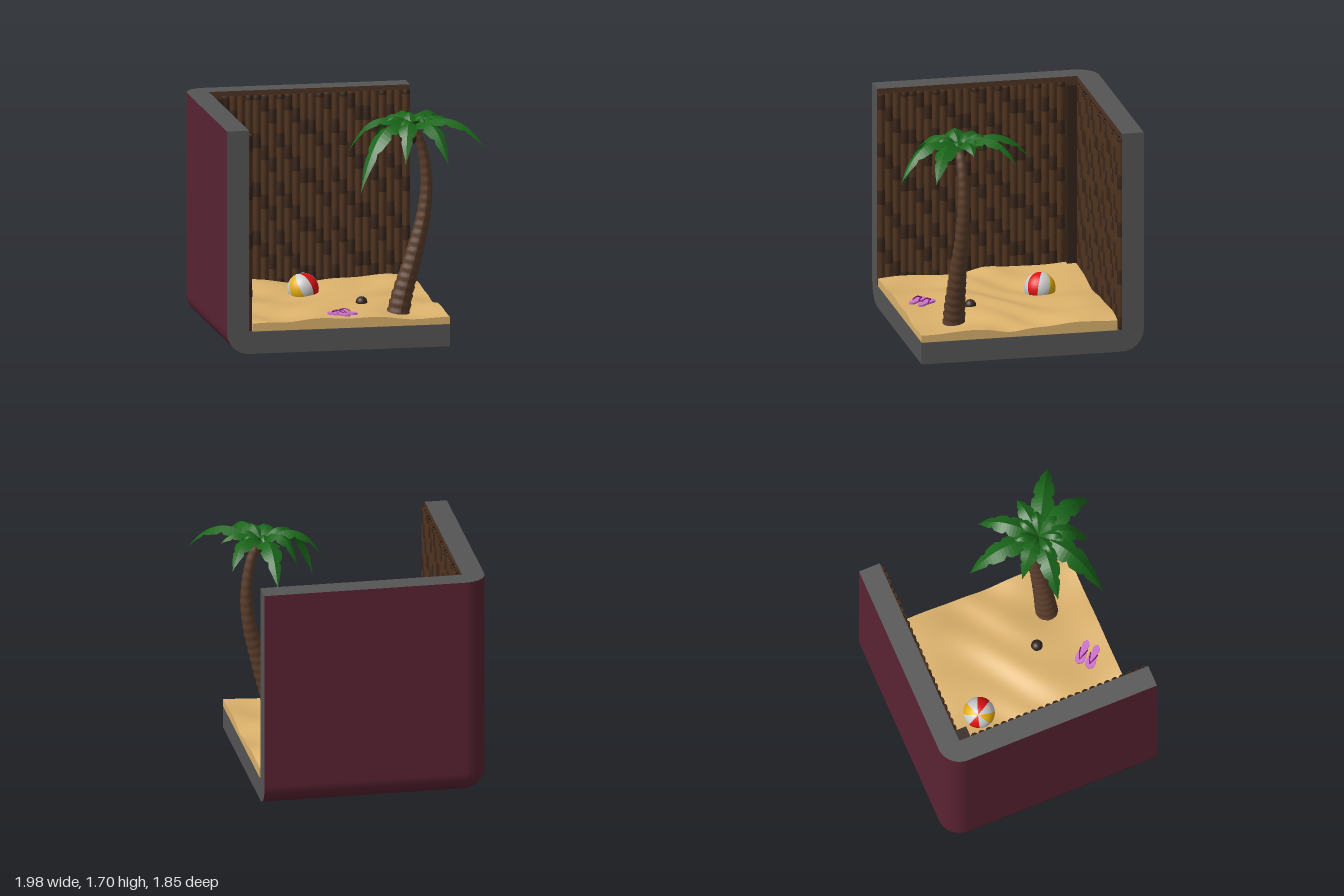
import * as THREE from 'three';

const mat = (color, extra = {}) => {
  const m = new THREE.MeshStandardMaterial(extra);
  m.color.set(color);
  return m;
};
const DOUBLE = { side: THREE.DoubleSide };

function add(parent, name, geometry, material, x = 0, y = 0, z = 0) {
  const mesh = new THREE.Mesh(geometry, material);
  mesh.name = name;
  mesh.position.set(x, y, z);
  parent.add(mesh);
  return mesh;
}

function group(parent, name, x = 0, y = 0, z = 0) {
  const g = new THREE.Group();
  g.name = name;
  g.position.set(x, y, z);
  parent.add(g);
  return g;
}

// Height of the dunes
const sandHeight = (x, z) => 0.243 - 0.012 * z
  + 0.016 * Math.sin(5.2 * x + 2.5 * z + 0.6)
  + 0.012 * Math.sin(8.5 * z - 3.1 * x + 1.5 * Math.sin(4 * x))
  + 0.007 * Math.sin(13 * x + 9 * z + 2 * Math.sin(5 * z));

// Three thick slabs meeting in a rounded outer corner
function buildShell(root) {
  const S = 1.7, T = 0.168, R = 0.17, N = 8;
  const shell = group(root, 'roomShell', -1, 0, -0.93);

  // Outer skin: left, bottom and back of a box with its shared edges rounded
  const skin = new THREE.BoxGeometry(1, 1, 1, N + 1, N + 1, N + 1);
  const pos = skin.attributes.position, p = new THREE.Vector3();
  for (let i = 0; i < pos.count; i++) {
    const k = p.fromBufferAttribute(pos, i).toArray().map(v => Math.round((v + 0.5) * (N + 1)));
    const d = new THREE.Vector3(...k.map(j => (j < N ? -Math.tan((1 - j / N) * Math.PI / 4) : 0))).normalize();
    skin.attributes.normal.setXYZ(i, d.x, d.y, d.z);
    const c = k.map(j => (j > N ? S : R));
    pos.setXYZ(i, c[0] + R * d.x, c[1] + R * d.y, c[2] + R * d.z);
  }
  const all = Array.from(skin.index.array);
  skin.setIndex([1, 3, 5].flatMap(f => all.slice(skin.groups[f].start, skin.groups[f].start + skin.groups[f].count)));
  skin.clearGroups();
  add(shell, 'outerSkin', skin, mat(0x5a2333));

  // L-shaped cut rims
  const s = new THREE.Shape();
  s.moveTo(R, 0);
  s.lineTo(S, 0); s.lineTo(S, T); s.lineTo(T, T); s.lineTo(T, S); s.lineTo(0, S); s.lineTo(0, R);
  s.absarc(R, R, R, Math.PI, Math.PI * 1.5);
  const rim = new THREE.ShapeGeometry(s, 10), grey = mat(0x555555, DOUBLE);
  add(shell, 'frontRim', rim, grey, 0, 0, S);
  add(shell, 'topRim', rim, grey, 0, S, 0).rotation.x = Math.PI / 2;
  add(shell, 'sideRim', rim, grey, S, 0, 0).rotation.y = -Math.PI / 2;

  // Inner faces
  const L = S - T, mid = (S + T) / 2, plane = new THREE.PlaneGeometry(L, L), brown = mat(0x4f3424);
  add(shell, 'backLining', plane, brown, mid, mid, T);
  add(shell, 'leftLining', plane, brown, T, mid, mid).rotation.y = Math.PI / 2;
  add(shell, 'floorLining', plane, grey, mid, T, mid).rotation.x = -Math.PI / 2;
}

// A row of half-round bamboo poles with staggered nodes
function buildBambooWall(root, name, x, z, turn) {
  const wall = group(root, name, x, 0, z);
  wall.rotation.y = turn;
  const count = 24, pitch = 1.436 / count, low = 0.17, high = 1.665, period = 0.37;
  const light = mat(0x50331f, DOUBLE), dark = mat(0x38251a, DOUBLE);
  const lathe = (a, b, r0, r1) => new THREE.LatheGeometry(
    [[0.024, a], [r0, a], [r1, b], [0.024, b]].map(q => new THREE.Vector2(...q)), 7, -Math.PI / 2, Math.PI);
  const variants = [0, 1, 2, 3].map(v => {
    const parts = [];
    for (let y = low - period + v * 0.0925; y < high; y += period) {
      for (const [a, b, r0, r1, m] of [[y, y + 0.26, 0.027, 0.029, light], [y + 0.26, y + period, 0.031, 0.029, dark]]) {
        const lo = Math.max(a, low), hi = Math.min(b, high);
        if (hi - lo > 0.005) parts.push([lathe(lo, hi, r0, r1), m]);
      }
    }
    return parts;
  });
  for (let i = 0; i < count; i++) {
    const pole = group(wall, 'bambooPole', (i + 0.5) * pitch, 0, 0);
    for (const [g, m] of variants[(i * 3 + (i % 7 > 3 ? 1 : 0)) % 4]) add(pole, 'bambooSegment', g, m);
  }
}

function buildSand(root) {
  const g = new THREE.BoxGeometry(1.5, 1, 1.5, 60, 1, 60);
  g.translate(-0.05, 0, 0.02);
  const pos = g.attributes.position;
  for (let i = 0; i < pos.count; i++) {
    pos.setY(i, pos.getY(i) > 0 ? sandHeight(pos.getX(i), pos.getZ(i)) : 0.17);
  }
  g.computeVertexNormals();
  add(root, 'sand', g, mat(0xdcb26c));
}

// Arched frond with a folded midrib and notched edges
function frondGeometry(start, tip, halfWidth, lift) {
  const n = 20, verts = [], index = [];
  const bend = start.clone().lerp(tip, 0.62).setY(lift);
  const curve = new THREE.QuadraticBezierCurve3(start, bend, tip);
  const side = new THREE.Vector3(tip.z - start.z, 0, start.x - tip.x).normalize();
  for (let i = 0; i <= n; i++) {
    const t = i / n, c = curve.getPoint(t);
    const w = halfWidth * Math.sin(Math.PI * Math.pow(0.1 + 0.9 * t, 0.85)) * (i % 5 === 4 ? 0.72 : 1);
    for (const k of [-1, 0, 1]) verts.push(c.x + side.x * w * k, c.y - Math.abs(k) * w * 0.5, c.z + side.z * w * k);
    if (i < n) for (const a of [3 * i, 3 * i + 1]) index.push(a, a + 1, a + 3, a + 1, a + 4, a + 3);
  }
  const g = new THREE.BufferGeometry();
  g.setAttribute('position', new THREE.Float32BufferAttribute(verts, 3));
  g.setIndex(index);
  g.computeVertexNormals();
  return g;
}

function buildPalm(root) {
  const palm = group(root, 'palmTree');
  // Trunk: a bent tube, tapered and stepped into rings
  const path = new THREE.CatmullRomCurve3([
    [0.36, 0.17, 0.45], [0.40, 0.35, 0.45], [0.48, 0.62, 0.445], [0.565, 0.95, 0.43],
    [0.588, 1.2, 0.425], [0.555, 1.45, 0.43], [0.49, 1.62, 0.44]].map(q => new THREE.Vector3(...q)));
  const rows = 88, sides = 14;
  const trunk = new THREE.TubeGeometry(path, rows, 1, sides);
  const pos = trunk.attributes.position, v = new THREE.Vector3();
  for (let i = 0; i <= rows; i++) {
    const t = i / rows, c = path.getPointAt(t);
    const r = (0.034 + 0.052 * Math.pow(1 - t, 1.4)) * (0.96 + 0.1 * ((i % 4) / 3));
    for (let j = 0; j <= sides; j++) {
      const k = i * (sides + 1) + j;
      v.fromBufferAttribute(pos, k).sub(c).multiplyScalar(r).add(c);
      pos.setXYZ(k, v.x, v.y, v.z);
    }
  }
  trunk.computeVertexNormals();
  add(palm, 'trunk', trunk, mat(0x5a3d2b));

  // Long fronds by tip position, then a tuft of short ones
  const heart = new THREE.Vector3(0.47, 1.6, 0.43), green = mat(0x1a661a, { ...DOUBLE, flatShading: true });
  const tips = [[0.45, 1.43, -0.14], [0.76, 1.52, 0.06], [0.79, 1.62, 0.39], [0.98, 1.475, 0.72], [0.66, 1.4, 0.92],
    [0.36, 1.39, 0.79], [0.02, 1.18, 0.76], [0, 1.43, 0.39], [0.24, 1.48, 0.2]];
  for (const q of tips) {
    const tip = new THREE.Vector3(...q), len = tip.distanceTo(heart);
    add(palm, 'frond', frondGeometry(heart, tip, 0.05 + 0.06 * len, q[1] > 1.6 ? 1.77 : 1.84), green);
  }
  for (let i = 0; i < 7; i++) {
    const a = i * Math.PI * 2 / 7 + 0.3;
    const tip = new THREE.Vector3(0.47 + 0.2 * Math.cos(a), 1.63 + 0.03 * (i % 2), 0.43 + 0.2 * Math.sin(a));
    add(palm, 'shortFrond', frondGeometry(heart, tip, 0.045, 1.77), green);
  }

  // Coconuts
  const nut = new THREE.SphereGeometry(0.044, 18, 12), shell = mat(0x33241c);
  for (const q of [[0.455, 1.54, 0.5], [0.44, 1.555, 0.41], [0.125, 0.262, 0.27]]) add(palm, 'coconut', nut, shell, ...q);
}

function buildBall(root) {
  const ball = group(root, 'beachBall', -0.2, 0.262, -0.335);
  ball.rotation.set(-0.27, 0, 0.42);
  const white = mat(0xe6e6e6), red = mat(0xe01010), yellow = mat(0xe6b010);
  [yellow, white, red, white, yellow, white, red, white].forEach((m, i) => {
    const phi = Math.PI - (i - 1) * Math.PI / 4 - Math.PI / 8;
    add(ball, 'ballPanel', new THREE.SphereGeometry(0.118, 6, 24, phi, Math.PI / 4), m);
  });
}

function buildFlipFlops(root) {
  const outline = new THREE.Shape();
  outline.moveTo(0, 0.1);
  outline.splineThru([[0.034, 0.075], [0.036, 0.03], [0.024, -0.03], [0.025, -0.075], [0, -0.1],
    [-0.025, -0.075], [-0.024, -0.03], [-0.036, 0.03], [-0.034, 0.075], [0, 0.1]].map(q => new THREE.Vector2(...q)));
  const sole = new THREE.ExtrudeGeometry(outline, { depth: 0.014, bevelEnabled: false, curveSegments: 30 });
  sole.rotateX(-Math.PI / 2);
  const pink = mat(0xcc72cc), magenta = mat(0x8a1478);
  for (const [x, z] of [[-0.118, 0.622], [-0.053, 0.567]]) {
    const shoe = group(root, 'flipFlop', x, sandHeight(x, z) + 0.008, z);
    shoe.rotation.y = Math.PI / 4;
    add(shoe, 'sole', sole, pink);
    for (const s of [-1, 1]) {
      const strap = new THREE.QuadraticBezierCurve3(new THREE.Vector3(0, 0.012, -0.06),
        new THREE.Vector3(s * 0.02, 0.05, -0.03), new THREE.Vector3(s * 0.028, 0.01, 0.025));
      add(shoe, 'strap', new THREE.TubeGeometry(strap, 10, 0.005, 6), magenta);
    }
  }
}

export function createModel() {
  const root = new THREE.Group();
  root.name = 'beachRoom';
  buildShell(root);
  buildBambooWall(root, 'backBambooWall', -0.736, -0.762, 0);
  buildBambooWall(root, 'leftBambooWall', -0.832, 0.77, Math.PI / 2);
  add(root, 'cornerPost', new THREE.BoxGeometry(0.1, 1.49, 0.1), mat(0x33231a), -0.782, 0.915, -0.715);
  buildSand(root);
  buildPalm(root);
  buildBall(root);
  buildFlipFlops(root);
  return root;
}
